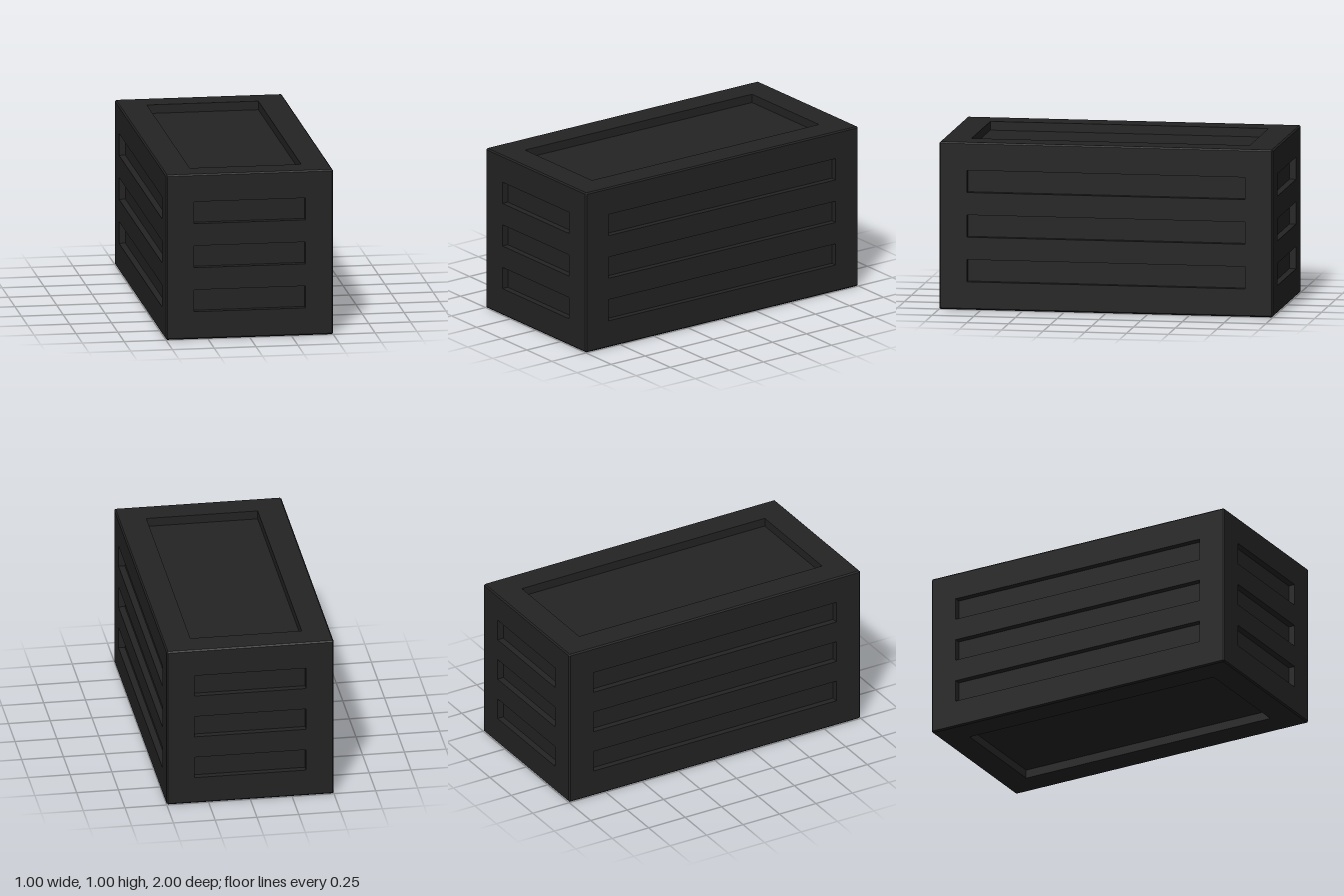
import * as THREE from 'three';
import { ConvexGeometry } from 'three/addons/geometries/ConvexGeometry.js';

const BEVEL = 0.008;
const HALF = [0.5, 0.5, 1]; // half sizes of the block

// Rectangle outline centred on (0, cy)
function rect(target, w, h, cy = 0) {
  target.moveTo(-w / 2, cy - h / 2);
  target.lineTo(w / 2, cy - h / 2);
  target.lineTo(w / 2, cy + h / 2);
  target.lineTo(-w / 2, cy + h / 2);
  target.closePath();
  return target;
}

// Open box seen from inside: walls and floor of a recess sunk below z = 0
function recessGeometry(w, h, depth, cy) {
  const geo = new THREE.BoxGeometry(w, h, depth);
  const src = Array.from(geo.index.array);
  const index = [];
  for (let i = 0; i < src.length; i += 3) {
    if (i >= 24 && i < 30) continue; // leave the mouth open
    index.push(src[i], src[i + 2], src[i + 1]);
  }
  geo.setIndex(index);
  geo.clearGroups();
  const n = geo.attributes.normal;
  for (let i = 0; i < n.array.length; i++) n.array[i] *= -1;
  geo.translate(0, cy, -depth / 2);
  return geo;
}

// One face of the block with its recesses, facing +z
function makeFace(name, material, w, h, recess) {
  const face = new THREE.Group();
  face.name = name;
  const shape = rect(new THREE.Shape(), w - 2 * BEVEL, h - 2 * BEVEL);
  for (const cy of recess.rows) {
    shape.holes.push(rect(new THREE.Path(), recess.w, recess.h, cy));
    const slot = new THREE.Mesh(recessGeometry(recess.w, recess.h, recess.depth, cy), material);
    slot.name = 'recess';
    face.add(slot);
  }
  const panel = new THREE.Mesh(new THREE.ShapeGeometry(shape), material);
  panel.name = 'panel';
  face.add(panel);
  return face;
}

// Chamfered edges and corners: hull of the block without its six flat faces
function bevelGeometry() {
  const points = [];
  for (const sx of [-1, 1]) for (const sy of [-1, 1]) for (const sz of [-1, 1]) {
    for (let axis = 0; axis < 3; axis++) {
      const p = [sx, sy, sz].map((s, i) => s * (HALF[i] - (i === axis ? 0 : BEVEL)));
      points.push(new THREE.Vector3(...p));
    }
  }
  const hull = new ConvexGeometry(points);
  const pos = hull.attributes.position.array;
  const nor = hull.attributes.normal.array;
  const kept = [];
  for (let i = 0; i < pos.length; i += 9) {
    const flat = Math.max(Math.abs(nor[i]), Math.abs(nor[i + 1]), Math.abs(nor[i + 2])) > 0.99;
    if (!flat) kept.push(...pos.slice(i, i + 9));
  }
  const geo = new THREE.BufferGeometry();
  geo.setAttribute('position', new THREE.Float32BufferAttribute(kept, 3));
  geo.computeVertexNormals();
  return geo;
}

export function createModel() {
  const model = new THREE.Group();
  model.name = 'slottedBlock';
  const charcoal = new THREE.MeshStandardMaterial({ color: 0x232323 });
  charcoal.name = 'charcoal';

  const block = new THREE.Group();
  block.name = 'block';
  block.position.y = 0.5;
  model.add(block);

  const rows = [-0.267, 0, 0.267];
  const endSlots = { w: 0.666, h: 0.133, depth: 0.04, rows };
  const sideSlots = { w: 1.666, h: 0.133, depth: 0.038, rows };
  const tray = { w: 0.666, h: 1.666, depth: 0.052, rows: [0] };

  // Ends and long sides with three slots each
  for (let i = 0; i < 4; i++) {
    const end = i % 2 === 0;
    const name = ['front', 'leftSide', 'back', 'rightSide'][i];
    const face = makeFace(name, charcoal, end ? 1 : 2, 1, end ? endSlots : sideSlots);
    face.rotation.y = i * Math.PI / 2;
    face.translateZ(end ? 1 : 0.5);
    block.add(face);
  }

  // Top and bottom with one large recess each
  for (const s of [1, -1]) {
    const face = makeFace(s > 0 ? 'top' : 'bottom', charcoal, 1, 2, tray);
    face.rotation.x = -s * Math.PI / 2;
    face.translateZ(0.5);
    block.add(face);
  }

  const edges = new THREE.Mesh(bevelGeometry(), charcoal);
  edges.name = 'bevelledEdges';
  block.add(edges);
  return model;
}
